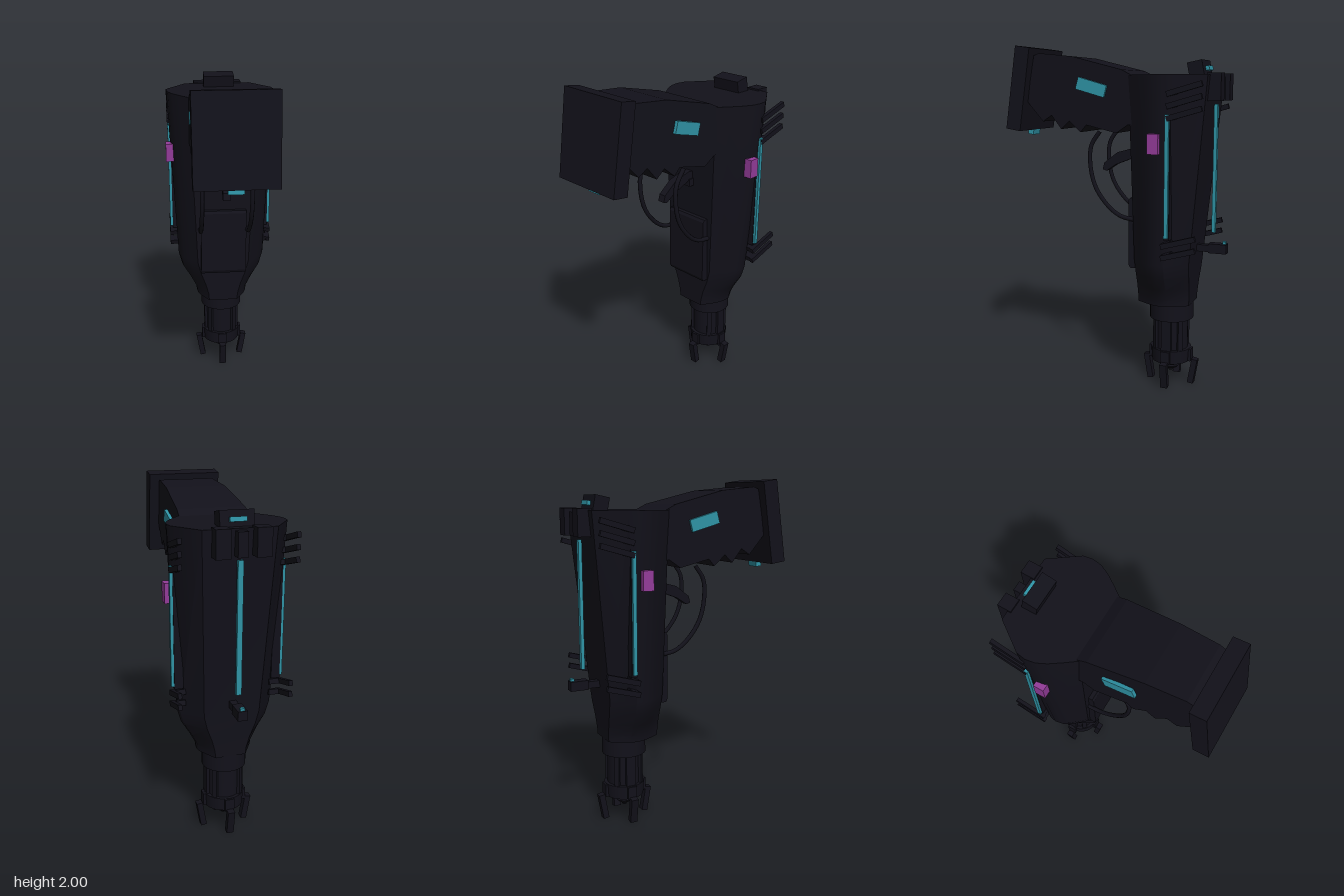
import * as THREE from 'three';
import { toCreasedNormals } from 'three/addons/utils/BufferGeometryUtils.js';

const dark = new THREE.MeshStandardMaterial({ color: 0x12111a });
const cyan = new THREE.MeshStandardMaterial({ color: 0x2f93a5 });
const violet = new THREE.MeshStandardMaterial({ color: 0x933b99 });
const AXIS = -0.32; // z of the barrel axis

export function createModel() {
  const model = new THREE.Group();

  const add = (name, geometry, material = dark, parent = model) => {
    const mesh = new THREE.Mesh(geometry, material);
    mesh.name = name;
    parent.add(mesh);
    return mesh;
  };
  // Box by size and centre, optionally pitched about x
  const box = (name, size, pos, material = dark, pitch = 0, parent = model) => {
    const mesh = add(name, new THREE.BoxGeometry(...size), material, parent);
    mesh.position.set(...pos);
    mesh.rotation.x = pitch;
    return mesh;
  };
  // Cylinder on the barrel axis between two heights
  const drum = (name, y0, y1, rBottom, rTop = rBottom, sides = 24) => {
    const geo = new THREE.CylinderGeometry(rTop, rBottom, y1 - y0, sides);
    add(name, geo).position.set(0, (y0 + y1) / 2, AXIS);
  };
  // Side profile of [z, y] points extruded across x
  const sideExtrude = (points, width) => {
    const shape = new THREE.Shape(points.map(([z, y]) => new THREE.Vector2(z, y)));
    const geo = new THREE.ExtrudeGeometry(shape, { depth: width, bevelEnabled: false });
    return geo.translate(0, 0, -width / 2).rotateY(-Math.PI / 2);
  };

  add('bodyShell', bodyGeometry());

  // Front cover panel
  add('frontPanel', sideExtrude([[-0.16, 0.72], [-0.105, 0.72], [-0.095, 0.74],
    [-0.095, 1.12], [-0.105, 1.135], [-0.16, 1.135]], 0.28));

  // Grip with finger teeth, narrowing towards the butt
  const gripGeo = sideExtrude([[-0.15, 1.555], [-0.11, 1.555], [-0.04, 1.508], [0.15, 1.55],
    [0.187, 1.508], [0.26, 1.57], [0.313, 1.523], [0.377, 1.602], [0.435, 1.565],
    [0.54, 1.68], [0.49, 1.945], [0.455, 1.958], [0.24, 1.937], [-0.07, 1.86], [-0.15, 1.82]], 2);
  const gp = gripGeo.attributes.position;
  for (let i = 0; i < gp.count; i++) gp.setX(i, gp.getX(i) * (0.193 - 0.06 * gp.getZ(i)));
  gripGeo.computeVertexNormals();
  add('grip', gripGeo);
  box('buttBlock', [0.44, 0.485, 0.092], [0, 1.755, 0.571], dark, -0.15);
  box('buttLight', [0.085, 0.04, 0.035], [0, 1.5, 0.583], cyan, -0.15);

  // Trigger
  add('trigger', sideExtrude([[-0.13, 1.365], [-0.1, 1.362], [0.03, 1.312], [0.09, 1.272],
    [0.115, 1.28], [0.105, 1.32], [0.02, 1.385], [-0.09, 1.415], [-0.13, 1.41]], 0.045));
  box('triggerMount', [0.06, 0.045, 0.05], [0, 1.345, -0.115]);

  // Parts mirrored on both sides
  for (const s of [1, -1]) {
    const side = s > 0 ? 'left' : 'right';
    const path = new THREE.CatmullRomCurve3([[0.08, 1.515], [0.135, 1.43], [0.142, 1.32],
      [0.11, 1.19], [0.03, 1.08], [-0.05, 1.025], [-0.13, 1.01]]
      .map(([z, y]) => new THREE.Vector3(s * 0.145, y, z)));
    add(side + 'Cable', new THREE.TubeGeometry(path, 32, 0.013, 8));

    box(side + 'GripLight', [0.02, 0.07, 0.18], [s * 0.197, 1.763, 0.11], cyan, -0.27);
    box(side + 'Button', [0.05, 0.11, 0.063], [s * 0.313, 1.462, -0.303], violet);
    box(side + 'LightStrip', [0.02, 0.67, 0.022], [s * 0.313, 1.285, -0.377], cyan);
    box(side + 'StripBacking', [0.05, 0.7, 0.03], [s * 0.282, 1.285, -0.377]);

    // Slanted cooling fins, each with a stub into the body
    const fins = new THREE.Group();
    fins.name = side + 'Fins';
    model.add(fins);
    for (const [y, z] of [[1.755, -0.47], [1.69, -0.47], [1.625, -0.47],
      [0.93, -0.445], [0.865, -0.445]]) {
      box('fin', [0.022, 0.03, 0.2], [s * 0.314, y, z], dark, 0.28, fins);
      box('finStub', [0.08, 0.03, 0.045], [s * 0.285, y - 0.02, z + 0.07], dark, 0.28, fins);
    }

    box(side + 'RearBlock', [0.08, 0.15, 0.08], [s * 0.108, 1.765, -0.585]);
  }

  // Rear light rail and its lower bracket
  box('rearLightStrip', [0.03, 0.73, 0.02], [0, 1.305, -0.567], cyan);
  box('rearTopBlock', [0.055, 0.13, 0.06], [0, 1.755, -0.58]);
  box('rearBracketArm', [0.04, 0.04, 0.12], [0, 0.845, -0.5]);
  box('rearBracket', [0.055, 0.055, 0.105], [0, 0.848, -0.595]);
  box('rearBracketLight', [0.025, 0.02, 0.02], [0, 0.88, -0.632], cyan);

  // Sight on top
  box('topSight', [0.185, 0.09, 0.085], [0, 1.86, -0.468], dark, 0.2);
  box('topSightLight', [0.09, 0.025, 0.02], [0, 1.868, -0.522], cyan, 0.2);

  // Barrel stack
  drum('barrelCollar', 0.41, 0.52, 0.13);
  drum('barrel', 0.2, 0.42, 0.1);
  for (let i = 0; i < 4; i++) {
    const rib = box('barrelRib', [0.05, 0.2, 0.03], [0, 0.31, AXIS]);
    rib.rotation.y = Math.PI / 4 + (i * Math.PI) / 2;
    rib.translateX(0.09);
  }
  for (const s of [1, -1]) box('barrelSideRib', [0.03, 0.2, 0.06], [s * 0.097, 0.31, AXIS]);
  drum('muzzleRing', 0.145, 0.225, 0.115, 0.12);
  drum('muzzleNozzle', 0.125, 0.15, 0.07);
  drum('emitterStem', 0.09, 0.13, 0.025);
  drum('emitterDisc', 0.09, 0.108, 0.035, 0.052);
  drum('emitterTip', 0.07, 0.092, 0.012, 0.025);

  // Four prongs leaning inward around the muzzle
  for (let i = 0; i < 4; i++) {
    const prong = new THREE.Group();
    prong.name = 'prong';
    prong.position.set(0, 0, AXIS);
    prong.rotation.y = (i * Math.PI) / 2;
    model.add(prong);
    box('prongMount', [0.05, 0.075, 0.055], [0.105, 0.185, 0], dark, 0, prong);
    const blade = box('prongBlade', [0.035, 0.152, 0.042], [0.138, 0.083, 0], dark, 0, prong);
    blade.rotation.z = -0.17;
  }
  return model;
}

// Body lofted through rows of [y, half width, flat half width, front z, back z]
function bodyGeometry() {
  const rows = [
    [0.51, 0.16, 0.09, -0.14, -0.45], [0.55, 0.166, 0.092, -0.14, -0.452],
    [0.62, 0.203, 0.11, -0.14, -0.456], [0.70, 0.252, 0.14, -0.14, -0.462],
    [0.78, 0.275, 0.16, -0.138, -0.466], [1.83, 0.325, 0.2, -0.113, -0.565],
  ];
  // Half outline: bulge across x and position from front (1) to back (0)
  const bulge = [[0, 1], [0.4, 0.85], [0.72, 0.72], [0.93, 0.6], [1, 0.48], [0.93, 0.36], [0, 0]];
  const rings = rows.map(([y, hw, flat, zf, zb]) => {
    const half = bulge.map(([u, t]) => [flat + u * (hw - flat), y, zb + t * (zf - zb)]);
    return [...half, ...half.map(([x, h, z]) => [-x, h, z]).reverse()];
  });
  const n = bulge.length * 2;
  const pos = rings.flat(2);
  const index = [];
  for (let r = 0; r < rows.length - 1; r++) {
    for (let i = 0; i < n; i++) {
      const j = (i + 1) % n, a = r * n, b = a + n;
      index.push(a + i, a + j, b + j, a + i, b + j, b + i);
    }
  }
  // Flat caps
  const top = (rows.length - 1) * n;
  for (let i = 1; i < n - 1; i++) {
    index.push(0, i + 1, i, top, top + i, top + i + 1);
  }
  const geo = new THREE.BufferGeometry();
  geo.setAttribute('position', new THREE.Float32BufferAttribute(pos, 3));
  geo.setIndex(index);
  return toCreasedNormals(geo, 0.5);
}
